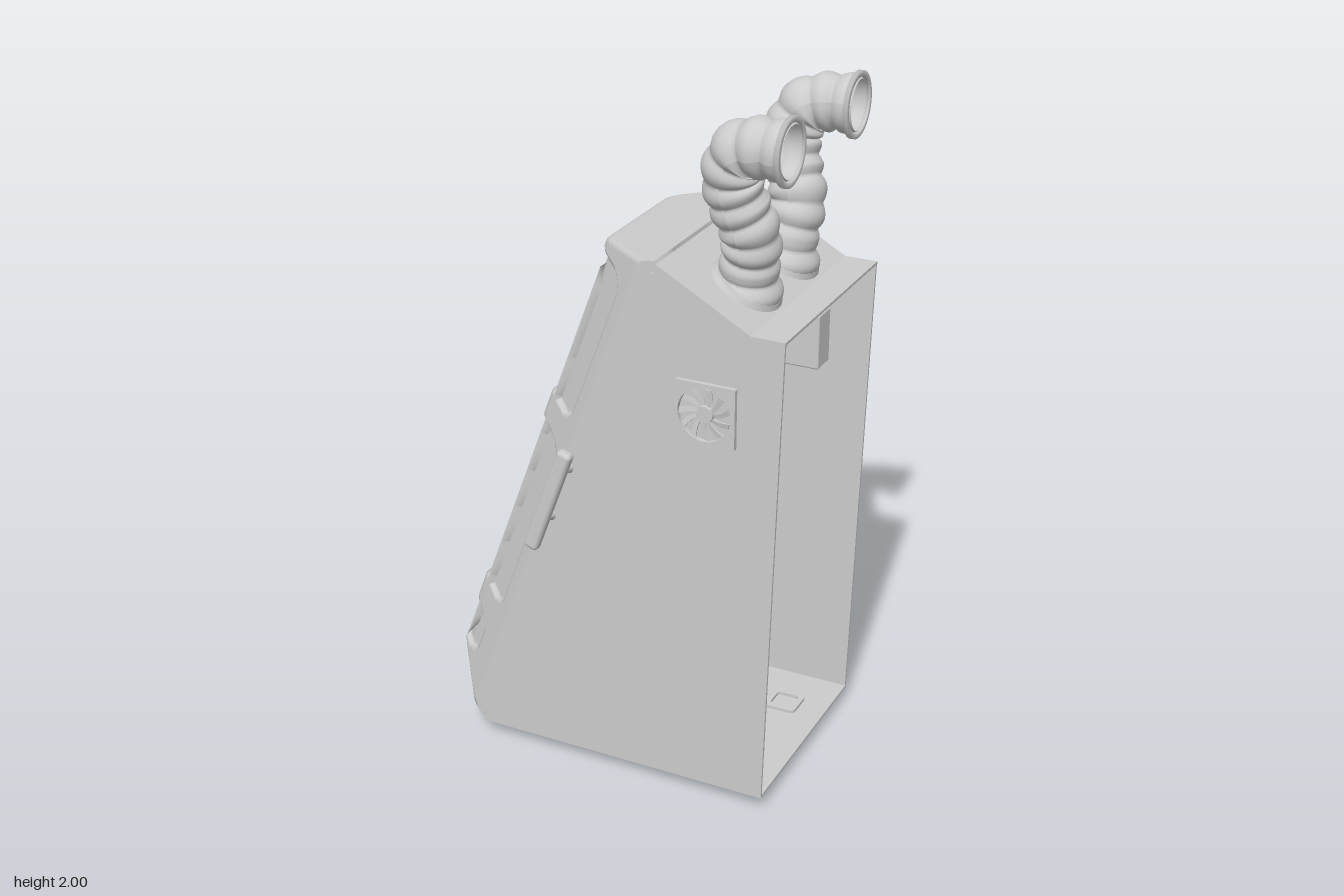
import * as THREE from 'three';
import { ParametricGeometry } from 'three/addons/geometries/ParametricGeometry.js';
import { RoundedBoxGeometry } from 'three/addons/geometries/RoundedBoxGeometry.js';

const mat = new THREE.MeshStandardMaterial({ color: 0xcccccc, side: THREE.DoubleSide });
const { smoothstep, clamp } = THREE.MathUtils;

function add(parent, name, geo, x = 0, y = 0, z = 0) {
  const m = new THREE.Mesh(geo, mat);
  m.name = name;
  m.position.set(x, y, z);
  parent.add(m);
  return m;
}

function group(parent, name, x = 0, y = 0, z = 0) {
  const g = new THREE.Group();
  g.name = name;
  g.position.set(x, y, z);
  parent.add(g);
  return g;
}

// soft minimum, for rounded edges between planes
function smin(a, b, k) {
  const h = Math.max(k - Math.abs(a - b), 0) / k;
  return Math.min(a, b) - h * h * k * 0.25;
}

// signed distance to a rounded rectangle
function roundRect(x, y, hw, hh, r) {
  const qx = Math.abs(x) - hw + r, qy = Math.abs(y) - hh + r;
  return Math.min(Math.max(qx, qy), 0) + Math.hypot(Math.max(qx, 0), Math.max(qy, 0)) - r;
}

function squareShape(h, r) {
  const s = new THREE.Shape();
  s.moveTo(-h + r, -h);
  s.lineTo(h - r, -h).quadraticCurveTo(h, -h, h, -h + r);
  s.lineTo(h, h - r).quadraticCurveTo(h, h, h - r, h);
  s.lineTo(-h + r, h).quadraticCurveTo(-h, h, -h, h - r);
  s.lineTo(-h, -h + r).quadraticCurveTo(-h, -h, -h + r, -h);
  return s;
}

// Lid relief: depth away from the seam plane, u along the slope
const LEN = 1.648, W = 0.32;
const panels = [[0.13, 0.28, 0.27], [0.36, 0.975, 0.297], [1.05, 1.54, 0.297]];
function lidDepth(u, z) {
  const chamfer = smin(0.192, 0.045 + (W - Math.abs(z)) * 1.15, 0.03);
  const ends = smin(u * 1.45, (LEN - u) * 2.4, 0.02);
  let d = smin(chamfer, ends, 0.025);
  for (const [a, b, hw] of panels) {
    const s = roundRect(z, u - (a + b) / 2, hw, (b - a) / 2, 0.05);
    d -= 0.02 * smoothstep(-s, 0, 0.018);
  }
  return Math.max(d, 0);
}

function lidSurface(width, inset, nu, nz) {
  return new ParametricGeometry((a, b, p) => {
    const u = a * LEN, t = 2 * b - 1, e = Math.abs(t);
    const z = Math.sign(t) * width * Math.min(1, e / 0.94);
    const side = Math.min(1, (1 - e) / 0.06);
    p.set(-Math.max(0, lidDepth(u, z) - inset) * side, u, z);
  }, nu, nz);
}

// Ribbed padding on the inside of the lid
function cushion() {
  return new ParametricGeometry((a, b, p) => {
    const u = 0.16 + a * 1.34, t = 2 * b - 1, z = 0.225 * t;
    const c = 1 - t * t;
    const edge = Math.sqrt(Math.max(0, 1 - t ** 6));
    const ends = smoothstep(a, 0, 0.06) * (1 - smoothstep(a, 0.93, 1));
    const zone = smoothstep(u, 0.33, 0.4) * (1 - smoothstep(u, 1.18, 1.24));
    const rib = Math.abs(Math.sin(Math.PI * (u + 0.06 * c) / 0.135));
    const pillow = smoothstep(u, 1.24, 1.32) * c;
    p.set(-0.165 + ends * edge * (0.05 + 0.03 * c + 0.035 * rib * zone + 0.03 * pillow), u, z);
  }, 130, 30);
}

function buildLid(root) {
  const lid = group(root, 'lid', -0.41, 0.05, 0);
  lid.rotation.z = -0.354;
  add(lid, 'lidShell', lidSurface(W, 0, 220, 90));
  add(lid, 'lidLiner', lidSurface(0.3, 0.022, 70, 40));
  add(lid, 'lidPadding', cushion());
  for (const s of [-1, 1])
    add(lid, 'sealStrip', new THREE.BoxGeometry(0.02, 1.6, 0.022), 0.012, 0.81, s * 0.302);

  // handle on two flared posts
  const handle = group(lid, 'handle', -0.022, 0.862, 0);
  add(handle, 'handleBar', new RoundedBoxGeometry(0.045, 0.34, 0.034, 3, 0.013), 0, 0, 0.38);
  const post = [[0.02, 0], [0.012, 0.015], [0.011, 0.04], [0.018, 0.055]]
    .map(([r, y]) => new THREE.Vector2(r, y));
  for (const s of [-1, 1])
    add(handle, 'handlePost', new THREE.LatheGeometry(post, 16), 0, s * 0.085, 0.315).rotation.x = Math.PI / 2;

  // hinges along the seam on the other side
  for (const u of [0.425, 0.84, 1.26]) {
    const h = group(lid, 'hinge', 0, u, -0.368);
    add(h, 'hingePin', new THREE.CylinderGeometry(0.022, 0.022, 0.13, 20));
    for (const s of [-1, 1]) {
      add(h, 'hingeKnuckle', new THREE.CylinderGeometry(0.03, 0.03, 0.052, 20), 0, s * 0.032, 0);
      add(h, 'hingeLeaf', new RoundedBoxGeometry(0.04, 0.048, 0.05, 2, 0.006), s * 0.02, s * 0.032, 0.03);
    }
  }
}

function buildBody(root) {
  const body = group(root, 'cabinet');
  const outline = [[-0.4, 0.04], [0.5, 0.04], [0.535, 1.44], [0.44, 1.44], [0.17, 1.59]]
    .map(([x, y]) => new THREE.Vector2(x, y));
  const wall = new THREE.ExtrudeGeometry(new THREE.Shape(outline), { depth: 0.008, bevelEnabled: false });
  for (const z of [-0.325, 0.317]) add(body, 'sideWall', wall, 0, 0, z);
  // floor, rear top lip and sloping roof
  for (const [name, i, j] of [['floor', 0, 1], ['topLip', 2, 3], ['roof', 3, 4]]) {
    const a = outline[i], b = outline[j], n = b.clone().sub(a);
    const inward = new THREE.Vector2(-n.y, n.x).normalize().multiplyScalar(0.004);
    const m = add(body, name, new THREE.BoxGeometry(n.length() + 0.002, 0.008, 0.65),
      (a.x + b.x) / 2 + inward.x, (a.y + b.y) / 2 + inward.y, 0);
    m.rotation.z = Math.atan2(n.y, n.x);
  }

  // feet, each with a recessed ring below and a raised ring on the floor inside
  const ringShape = squareShape(0.05, 0.02);
  ringShape.holes.push(squareShape(0.034, 0.014));
  const padShape = squareShape(0.1, 0.03);
  padShape.holes.push(squareShape(0.065, 0.02));
  const pad = new THREE.ExtrudeGeometry(padShape,
    { depth: 0.008, bevelThickness: 0.004, bevelSize: 0.004, bevelSegments: 2 }).translate(0, 0, 0.004);
  const stem = new THREE.ExtrudeGeometry(squareShape(0.072, 0.02), { depth: 0.034, bevelEnabled: false });
  const ring = new THREE.ExtrudeGeometry(ringShape, { depth: 0.01, bevelEnabled: false });
  for (const x of [-0.245, 0.37]) for (const z of [-0.15, 0.15]) {
    const foot = group(body, 'foot', x, 0, z);
    foot.rotation.x = -Math.PI / 2;
    add(foot, 'footPad', pad);
    add(foot, 'footStem', stem, 0, 0, 0.008);
    add(foot, 'footRing', ring, 0, 0, 0.002);
    add(foot, 'floorRing', ring, 0, 0, 0.047);
  }
}

function buildFan(root, s) {
  const fan = group(root, s > 0 ? 'frontFan' : 'backFan', 0.317, 1.2, 0);
  if (s < 0) fan.rotation.y = Math.PI;
  if (s < 0) fan.scale.x = 1;
  const frame = squareShape(0.088, 0.006);
  frame.holes.push(new THREE.Path().absarc(0, 0, 0.077, 0, Math.PI * 2, true));
  add(fan, 'fanFrame', new THREE.ExtrudeGeometry(frame, { depth: 0.014, bevelEnabled: false, curveSegments: 32 }), 0, 0, 0.325);
  add(fan, 'fanHousing', new RoundedBoxGeometry(0.176, 0.165, 0.085, 2, 0.006), 0, 0, 0.279);
  add(fan, 'fanHub', new THREE.CylinderGeometry(0.024, 0.026, 0.014, 24), 0, 0, 0.332).rotation.x = Math.PI / 2;
  // curved blades
  const blade = new THREE.Shape();
  blade.moveTo(0.02, -0.004);
  blade.quadraticCurveTo(0.05, -0.006, 0.073, 0.014);
  blade.lineTo(0.068, 0.03);
  blade.quadraticCurveTo(0.045, 0.008, 0.02, 0.005);
  const bladeGeo = new THREE.ExtrudeGeometry(blade, { depth: 0.004, bevelEnabled: false }).rotateX(0.2);
  for (let i = 0; i < 11; i++)
    add(fan, 'fanBlade', bladeGeo, 0, 0, 0.329).rotation.z = i * Math.PI * 2 / 11;
}

// Corrugated hose with a flange at the roof and a collar at its mouth
function buildHose(root, s) {
  const hose = group(root, s > 0 ? 'frontHose' : 'backHose');
  const path = new THREE.CatmullRomCurve3([
    [0.335, 1.47, 0.125], [0.35, 1.56, 0.135], [0.36, 1.65, 0.155], [0.335, 1.74, 0.18],
    [0.322, 1.82, 0.2], [0.355, 1.89, 0.215], [0.42, 1.91, 0.225], [0.5, 1.91, 0.228],
  ].map(([x, y, z]) => new THREE.Vector3(x, y, z * s)));
  const rows = 110, sides = 28;
  const geo = new THREE.TubeGeometry(path, rows, 0.07, sides, false);
  const pos = geo.attributes.position, nor = geo.attributes.normal;
  for (let i = 0; i < pos.count; i++) {
    const t = Math.floor(i / (sides + 1)) / rows;
    const k = 0.012 * Math.abs(Math.sin(t * Math.PI * 10)) + 0.025 * clamp(1 - t / 0.14, 0, 1);
    pos.setXYZ(i, pos.getX(i) + nor.getX(i) * k, pos.getY(i) + nor.getY(i) * k, pos.getZ(i) + nor.getZ(i) * k);
  }
  geo.computeVertexNormals();
  add(hose, 'hoseTube', geo);
  const flange = add(hose, 'hoseFlange', new THREE.CylinderGeometry(0.098, 0.108, 0.02, 32), 0.342, 1.5, s * 0.128);
  flange.rotation.z = -0.507;
  const collar = [[0.07, -0.035], [0.078, -0.02], [0.08, -0.008], [0.092, -0.006], [0.092, 0.006], [0.076, 0.006], [0.072, -0.03]]
    .map(([r, y]) => new THREE.Vector2(r, y));
  add(hose, 'hoseCollar', new THREE.LatheGeometry(collar, 32), 0.493, 1.91, s * 0.228).rotation.z = -Math.PI / 2;
}

export function createModel() {
  const root = new THREE.Group();
  root.name = 'sleepPod';
  buildBody(root);
  buildLid(root);
  for (const s of [-1, 1]) {
    buildFan(root, s);
    buildHose(root, s);
  }
  return root;
}
